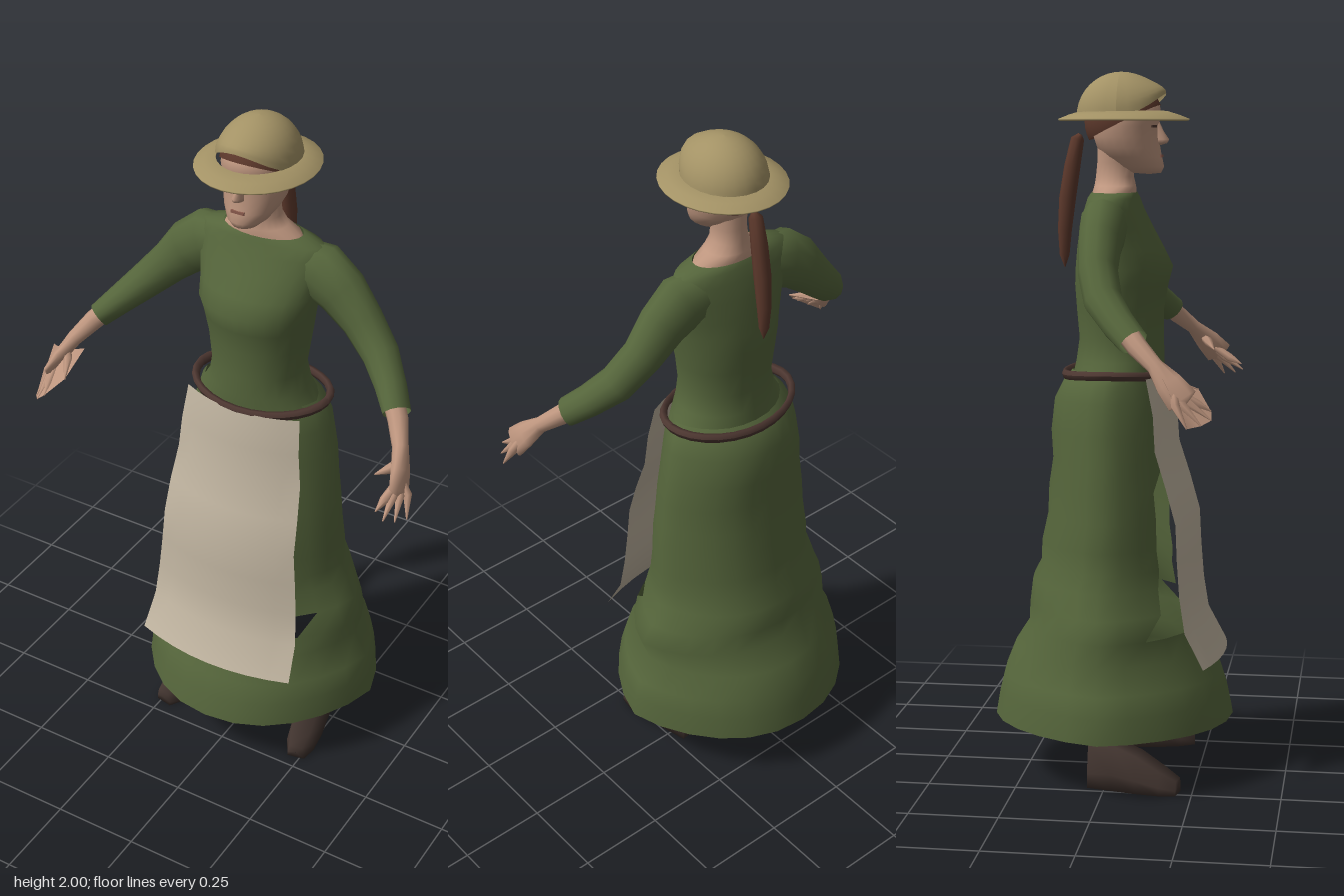
import * as THREE from 'three';

const mat = (name, color, side = THREE.FrontSide) => {
  const m = new THREE.MeshStandardMaterial({ color, side });
  m.name = name;
  return m;
};

// Skin a stack of closed rings of points; keep(centroid) may leave out triangles
function loft(rings, keep = () => true) {
  const n = rings[0].length, pts = rings.flat(), idx = [];
  const tri = (...t) => {
    const c = new THREE.Vector3();
    t.forEach(i => c.addScaledVector(pts[i], 1 / 3));
    if (keep(c)) idx.push(...t);
  };
  for (let i = 0; i < rings.length - 1; i++) {
    for (let j = 0; j < n; j++) {
      const a = i * n + j, b = i * n + (j + 1) % n;
      tri(a, a + n, b);
      tri(b, a + n, b + n);
    }
  }
  const g = new THREE.BufferGeometry().setFromPoints(pts);
  g.setIndex(idx);
  g.computeVertexNormals();
  return g;
}

// Horizontal oval rings, bottom to top: [y, halfWidth, zFront, zBack]
function ovals(rows, n = 20, pinch = 0, keep) {
  return loft(rows.map(([y, rx, zf, zb]) => Array.from({ length: n }, (_, j) => {
    const a = j / n * Math.PI * 2;
    const x = rx * Math.cos(a) * (1 - pinch * Math.abs(Math.sin(2 * a)));
    return new THREE.Vector3(x, y, (zf + zb) / 2 + (zf - zb) / 2 * Math.sin(a));
  })), keep);
}

// Tapering limb through [x, y, z, radius, depthRadius], mirrored by s
function limb(points, s = 1, n = 10) {
  const P = points.map(p => new THREE.Vector3(p[0] * s, p[1], p[2]));
  return loft(P.map((c, i) => {
    const t = P[Math.min(i + 1, P.length - 1)].clone().sub(P[Math.max(i - 1, 0)]).normalize();
    const u = t.clone().cross(new THREE.Vector3(0, 0, 1)).normalize();
    const v = u.clone().cross(t);
    const ra = points[i][3], rb = points[i][4] ?? ra;
    return Array.from({ length: n }, (_, j) => {
      const a = j / n * Math.PI * 2;
      return c.clone().addScaledVector(u, ra * Math.cos(a)).addScaledVector(v, rb * Math.sin(a));
    });
  }));
}

export function createModel() {
  const model = new THREE.Group();
  model.name = 'womanInDress';
  const two = THREE.DoubleSide;
  const green = mat('dressGreen', 0x55653b, two);
  const cream = mat('apronCream', 0xbfb39f, two);
  const lining = mat('petticoatCream', 0xbdb29f);
  const straw = mat('hatStraw', 0xa39265, two);
  const skin = mat('skin', 0xbd957e, two);
  const brown = mat('hairBrown', 0x5c382b, two);
  const leather = mat('shoeLeather', 0x40332e);
  const beltMat = mat('beltBrown', 0x4c3630);
  const dark = mat('eyeDark', 0x4a352d);
  const lip = mat('lipRose', 0x8c5c4e);
  const add = (name, geo, m, parent = model) => {
    const mesh = new THREE.Mesh(geo, m);
    mesh.name = name;
    parent.add(mesh);
    return mesh;
  };

  // Skirt with soft horizontal folds and a ragged opening behind the apron
  add('skirt', ovals([
    [0.17, 0.375, 0.345, -0.345], [0.24, 0.368, 0.33, -0.333], [0.3, 0.355, 0.31, -0.318],
    [0.37, 0.312, 0.272, -0.29], [0.44, 0.335, 0.245, -0.245], [0.5, 0.305, 0.225, -0.243],
    [0.57, 0.278, 0.212, -0.235], [0.62, 0.265, 0.21, -0.21], [0.68, 0.262, 0.2, -0.208],
    [0.76, 0.257, 0.195, -0.19], [0.84, 0.249, 0.185, -0.187], [0.92, 0.242, 0.175, -0.175],
    [1.0, 0.232, 0.168, -0.18], [1.09, 0.217, 0.16, -0.17], [1.14, 0.2, 0.142, -0.145],
    [1.17, 0.178, 0.14, -0.118],
  ], 24, 0.08, c => c.y < 0.44 || c.y > 1.0 || c.z < 0.14), green);
  add('petticoat', ovals([[0.15, 0.222, 0.2, -0.205], [0.27, 0.212, 0.19, -0.195]], 24), lining);

  // Bodice closing in to a wide neckline
  add('bodice', ovals([
    [1.15, 0.18, 0.14, -0.118], [1.2, 0.15, 0.142, -0.108], [1.26, 0.137, 0.14, -0.1],
    [1.34, 0.148, 0.14, -0.107], [1.41, 0.16, 0.152, -0.112], [1.46, 0.17, 0.165, -0.11],
    [1.51, 0.176, 0.14, -0.105], [1.57, 0.19, 0.106, -0.096], [1.62, 0.192, 0.08, -0.083],
    [1.652, 0.18, 0.068, -0.073], [1.667, 0.118, 0.062, -0.065],
  ], 24), green);

  // Apron hanging clear of the skirt
  const halfW = [0.18, 0.19, 0.2, 0.21, 0.216, 0.224, 0.232, 0.24, 0.25];
  const depth = [0.155, 0.176, 0.183, 0.215, 0.243, 0.248, 0.256, 0.272, 0.325];
  const apron = new THREE.PlaneGeometry(2, 1, 8, 8);
  const ap = apron.attributes.position;
  for (let i = 0; i < ap.count; i++) {
    const row = Math.floor(i / 9), u = ap.getX(i);
    ap.setXYZ(i, u * halfW[row], 1.16 - row * 0.1, depth[row] - 0.045 * u * u);
  }
  apron.computeVertexNormals();
  add('apron', apron, cream);

  // Loose belt, a little higher at the hips
  const belt = new THREE.TorusGeometry(0.203, 0.012, 6, 28);
  belt.rotateX(Math.PI / 2);
  belt.scale(1, 1.2, 0.71);
  const bp = belt.attributes.position;
  for (let i = 0; i < bp.count; i++) bp.setY(i, bp.getY(i) + 1.157 + 0.3 * bp.getX(i) ** 2);
  belt.translate(0, 0, 0.004);
  belt.computeVertexNormals();
  add('belt', belt, beltMat);

  // Arms, hands and shoes
  const tips = [[0.592, 1.087, 0.265], [0.574, 1.093, 0.3], [0.552, 1.105, 0.325], [0.528, 1.125, 0.322]];
  for (const s of [1, -1]) {
    const arm = new THREE.Group();
    arm.name = s > 0 ? 'leftArm' : 'rightArm';
    model.add(arm);
    add('sleeve', limb([
      [0.11, 1.585, -0.008, 0.07, 0.06], [0.175, 1.575, -0.008, 0.086, 0.066],
      [0.238, 1.532, -0.008, 0.076, 0.06], [0.305, 1.462, -0.004, 0.06, 0.054],
      [0.375, 1.392, 0.02, 0.051, 0.052], [0.432, 1.337, 0.068, 0.042, 0.046],
      [0.475, 1.295, 0.113, 0.035, 0.042],
    ], s, 12), green, arm);
    add('forearm', limb([
      [0.44, 1.33, 0.08, 0.03], [0.485, 1.283, 0.125, 0.028], [0.52, 1.238, 0.175, 0.022],
      [0.543, 1.195, 0.215, 0.019, 0.038], [0.558, 1.155, 0.25, 0.014, 0.044],
      [0.562, 1.143, 0.258, 0.001, 0.002],
    ], s), skin, arm);
    tips.forEach((t, i) => add('finger' + (i + 1), limb([
      [0.548, 1.18, 0.226, 0.011], [0.577 - i * 0.014, 1.143, 0.235 + i * 0.017, 0.013],
      [...t, 0.002],
    ], s, 6), skin, arm));
    const thumb = [0.48, 1.175, s > 0 ? 0.24 : 0.285];
    add('thumb', limb([[0.54, 1.215, 0.195, 0.014], [0.512, 1.192, 0.222, 0.014], [...thumb, 0.002]], s, 6), skin, arm);
    if (s < 0) {
      // Closed hand: skin joining the fingers and thumb
      const fan = [[0.54, 1.205, 0.2], [0.575, 1.215, 0.2], ...tips, thumb, [0.49, 1.21, 0.17]];
      const web = new THREE.BufferGeometry();
      web.setAttribute('position', new THREE.Float32BufferAttribute(fan.flatMap(p => [-p[0], p[1], p[2]]), 3));
      web.setIndex([1, 2, 3, 4, 5, 6].flatMap(i => [0, i, i + 1]));
      web.computeVertexNormals();
      add('closedHand', web, skin, arm);
    }

    // Wedge shoe lofted heel to toe: [z, soleHalf, topHalf, height]
    const rows = [[-0.042, 0.001, 0.001, 0.06], [-0.042, 0.04, 0.03, 0.12], [0.03, 0.042, 0.034, 0.13],
      [0.1, 0.046, 0.034, 0.105], [0.17, 0.042, 0.03, 0.065], [0.215, 0.026, 0.02, 0.04], [0.215, 0.001, 0.001, 0.02]];
    const shoe = add(s > 0 ? 'leftShoe' : 'rightShoe', loft(rows.map(([z, b, t, h], i) => {
      const low = i === 0 || i === 6 ? h - 0.001 : 0;
      return [[t, h], [-t, h], [-b, low + (h - low) * 0.35], [-b, low], [b, low], [b, low + (h - low) * 0.35]]
        .map(([x, y]) => new THREE.Vector3(x, y, z)).reverse();
    })), leather);
    shoe.position.set(s * 0.195, 0, 0);
    shoe.rotation.y = s * 0.2;
  }

  // Neck and head
  add('neck', ovals([
    [1.63, 0.13, 0.06, -0.062], [1.668, 0.112, 0.06, -0.062], [1.685, 0.072, 0.06, -0.058],
    [1.71, 0.05, 0.054, -0.054], [1.75, 0.046, 0.055, -0.05], [1.81, 0.05, 0.05, -0.05],
  ]), skin);
  const head = new THREE.Group();
  head.name = 'head';
  model.add(head);
  add('face', ovals([
    [1.718, 0.002, 0.102, 0.09], [1.721, 0.036, 0.13, 0.05], [1.738, 0.056, 0.139, 0.01],
    [1.765, 0.074, 0.133, -0.025], [1.79, 0.084, 0.128, -0.05], [1.82, 0.091, 0.124, -0.06],
    [1.85, 0.094, 0.122, -0.065], [1.88, 0.094, 0.13, -0.068], [1.91, 0.088, 0.126, -0.06],
    [1.945, 0.06, 0.09, -0.03], [1.955, 0.002, 0.03, 0.026],
  ]), skin, head);
  add('nose', ovals([
    [1.798, 0.003, 0.13, 0.11], [1.803, 0.016, 0.147, 0.09], [1.813, 0.015, 0.153, 0.09],
    [1.835, 0.011, 0.138, 0.09], [1.865, 0.008, 0.124, 0.09],
  ], 12), skin, head);
  for (const s of [1, -1]) {
    const eye = add('eye', new THREE.BoxGeometry(0.024, 0.007, 0.006), dark, head);
    eye.position.set(s * 0.038, 1.85, 0.114);
    const brow = add('brow', new THREE.BoxGeometry(0.032, 0.004, 0.006), brown, head);
    brow.position.set(s * 0.039, 1.869, 0.118);
    eye.rotation.y = brow.rotation.y = s * 0.42;
  }
  add('mouth', new THREE.BoxGeometry(0.04, 0.008, 0.008), lip, head).position.set(0, 1.768, 0.13);

  // Hair cap tilted back, with a long ponytail
  const hair = new THREE.SphereGeometry(1, 20, 10, 0, Math.PI * 2, 0, Math.PI * 0.52);
  hair.scale(0.101, 0.106, 0.112);
  hair.rotateX(-0.45);
  hair.translate(0, 1.866, 0.025);
  add('hair', hair, brown, head);
  add('ponytail', limb([
    [0, 1.828, -0.098, 0.006], [0, 1.815, -0.106, 0.019], [0, 1.74, -0.121, 0.023],
    [0, 1.65, -0.135, 0.024], [0, 1.56, -0.143, 0.02], [0, 1.49, -0.144, 0.014], [0, 1.455, -0.143, 0.001],
  ], 1, 8), brown, head);

  // Domed hat, its crown raised at the front over an open ring brim
  const crown = new THREE.SphereGeometry(1, 24, 10, 0, Math.PI * 2, 0, Math.PI / 2);
  const cp = crown.attributes.position;
  for (let i = 0; i < cp.count; i++) {
    const z = cp.getZ(i), y = cp.getY(i);
    const lift = 0.062 * Math.max(0, z) ** 2 * (1 - y);
    cp.setXYZ(i, cp.getX(i) * 0.113, 1.878 + y * 0.122 + lift, 0.018 + z * 0.126);
  }
  crown.computeVertexNormals();
  add('hatCrown', crown, straw, head);
  const brim = new THREE.LatheGeometry([
    [0.108, 1.884], [0.135, 1.872], [0.163, 1.865], [0.165, 1.87], [0.138, 1.882], [0.108, 1.892], [0.108, 1.884],
  ].map(p => new THREE.Vector2(...p)), 28);
  brim.scale(1, 1, 1.12);
  brim.translate(0, 0, 0.025);
  add('hatBrim', brim, straw, head);

  return model;
}
